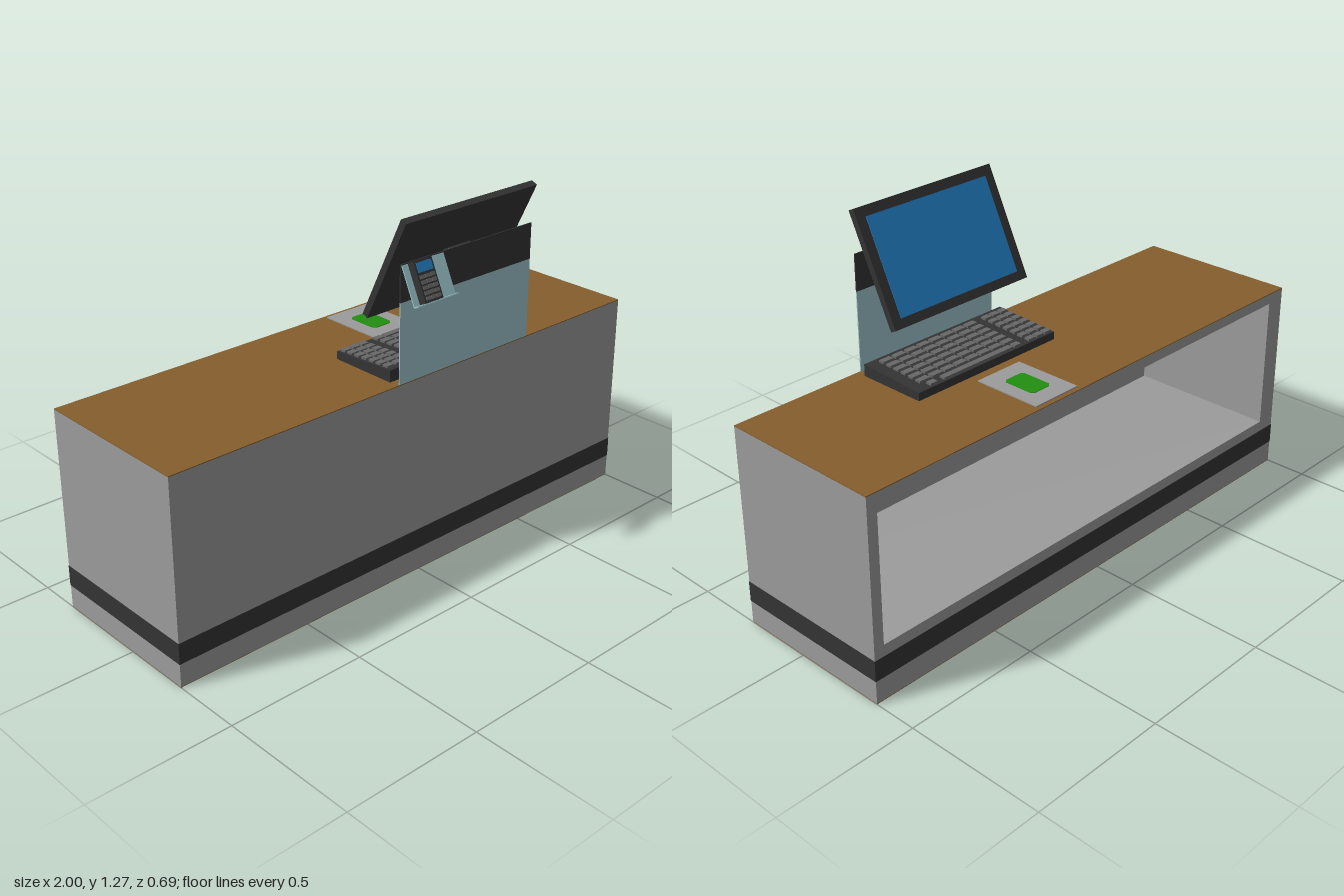
import * as THREE from 'three';

const mat = (name, color, side = THREE.FrontSide) => {
  const m = new THREE.MeshStandardMaterial({ color, side });
  m.name = name;
  return m;
};

export function createModel() {
  const grey = mat('counter grey', 0x9c9c9c);
  const wood = mat('wood brown', 0x855e2d);
  const dark = mat('dark plastic', 0x343434);
  const keyGrey = mat('key grey', 0x686868);
  const glass = mat('pale glass', 0x9fc8cf);
  const blue = mat('screen blue', 0x2482c8);
  const green = mat('pad green', 0x22900f);

  const model = new THREE.Group();
  model.name = 'serviceCounter';

  const group = (name, x = 0, y = 0, z = 0, parent = model) => {
    const g = new THREE.Group();
    g.name = name;
    g.position.set(x, y, z);
    parent.add(g);
    return g;
  };
  const add = (parent, name, geometry, material) => {
    const m = new THREE.Mesh(geometry, material);
    m.name = name;
    parent.add(m);
    return m;
  };
  // Box given by its extents on each axis
  const box = (parent, name, material, x0, x1, y0, y1, z0, z1) => {
    const m = add(parent, name, new THREE.BoxGeometry(x1 - x0, y1 - y0, z1 - z0), material);
    m.position.set((x0 + x1) / 2, (y0 + y1) / 2, (z0 + z1) / 2);
    return m;
  };
  const polygon = (pts) => pts.map(([x, y]) => new THREE.Vector2(x, y));

  // Counter: a frame open at the back, closed by the front wall
  const counter = group('counter');
  const frame = new THREE.Shape(polygon([[-1, 0.002], [1, 0.002], [1, 0.717], [-1, 0.717]]));
  frame.holes.push(new THREE.Path(polygon([[-0.925, 0.197], [-0.925, 0.68], [0.962, 0.68], [0.962, 0.197]])));
  add(counter, 'counterFrame', new THREE.ExtrudeGeometry(frame, { depth: 0.56, bevelEnabled: false }), grey)
    .position.z = -0.345;
  box(counter, 'frontWall', grey, -1, 1, 0.002, 0.717, 0.215, 0.253);
  box(counter, 'worktop', wood, -1, 1, 0.717, 0.72, -0.345, 0.253);
  box(counter, 'basePlate', wood, -1, 1, 0, 0.002, -0.345, 0.253);
  box(counter, 'darkBand', dark, -1.001, 1.001, 0.083, 0.157, -0.346, 0.254);

  // Upright panel on the front edge
  const panel = group('uprightPanel');
  box(panel, 'glassPanel', glass, -0.1, 0.5, 0.72, 1.0, 0.249, 0.253);
  box(panel, 'darkPanel', dark, -0.1, 0.5, 1.0, 1.127, 0.249, 0.253);

  // Tilted plates with a small lip, hung from the top of the panel
  const holder = (name, x, z, width, turn) => {
    const pivot = group(name, x, 1.063, z);
    pivot.rotation.set(-0.44, turn, 0, 'YXZ');
    box(pivot, 'holderPlate', glass, -width / 2, width / 2, -0.069, 0.069, -0.002, 0.002);
    box(pivot, 'holderLip', glass, -width / 2, width / 2, -0.069, -0.065, 0.002, 0.018);
    return pivot;
  };

  // Card reader on the customer side
  const reader = holder('cardReader', -0.01, 0.286, 0.18, 0);
  box(reader, 'readerBody', dark, -0.066, 0.012, -0.064, 0.07, 0.002, 0.03);
  box(reader, 'readerScreen', blue, -0.059, 0.005, 0.032, 0.064, 0.03, 0.032);
  for (let row = 0; row < 5; row++) {
    for (let col = 0; col < 3; col++) {
      const x = -0.059 + col * 0.0225, y = -0.056 + row * 0.017;
      box(reader, 'readerKey', keyGrey, x, x + 0.019, y, y + 0.012, 0.03, 0.033);
    }
  }

  // Monitor mount on the operator side
  const mount = holder('monitorMount', 0.197, 0.22, 0.2, Math.PI);
  box(mount, 'mountBlock', dark, -0.06, 0.06, -0.03, 0.035, 0.002, 0.034);

  // Monitor leaning back, its screen facing the operator
  const monitor = group('monitor', 0.197, 1.089, 0.1765);
  monitor.rotation.x = 0.45;
  box(monitor, 'monitorBody', dark, -0.297, 0.297, -0.199, 0.199, -0.012, 0.012);
  box(monitor, 'monitorScreen', blue, -0.261, 0.261, -0.168, 0.165, -0.014, -0.012);

  // Keyboard: wedge-shaped body with rows of keys following its slope
  const keyboard = group('keyboard');
  const profile = new THREE.Shape(polygon([[0.037, 0.72], [0.037, 0.748], [-0.217, 0.762], [-0.217, 0.72]]));
  const body = add(keyboard, 'keyboardBody', new THREE.ExtrudeGeometry(profile, { depth: 0.62, bevelEnabled: false }), dark);
  body.rotation.y = Math.PI / 2;
  body.position.x = -0.108;
  const key = (x, z, width) => {
    const top = 0.756 + (z + 0.037) * 0.055;
    box(keyboard, 'key', keyGrey, x, x + width, top - 0.012, top, z, z + 0.022);
  };
  for (let row = 0; row < 7; row++) {
    const z = -0.03 + row * 0.034;
    if (row === 0) key(0.085, z, 0.31);
    for (let col = 0; col < 8; col++) {
      if (row > 0 || col === 0 || col === 7) key(0.046 + col * 0.054, z, row ? 0.044 : 0.03);
    }
    for (let col = 0; col < 3; col++) key(-0.1 + col * 0.038, z, 0.03);
  }

  // Touch pad lying on the worktop, with a clipped green patch
  const pad = group('signaturePad', 0.197, 0.72, -0.202);
  box(pad, 'padBase', grey, -0.095, 0.095, 0, 0.004, -0.127, 0.127);
  const patch = new THREE.Shape(polygon([
    [-0.043, -0.052], [-0.032, -0.063], [0.032, -0.063], [0.043, -0.052],
    [0.043, 0.052], [0.032, 0.063], [-0.032, 0.063], [-0.043, 0.052],
  ]));
  const patchMesh = add(pad, 'padPatch', new THREE.ExtrudeGeometry(patch, { depth: 0.002, bevelEnabled: false }), green);
  patchMesh.rotation.x = -Math.PI / 2;
  patchMesh.position.y = 0.004;

  // Centre front to back
  model.children.forEach((part) => { part.position.z += 0.0; });
  return model;
}
